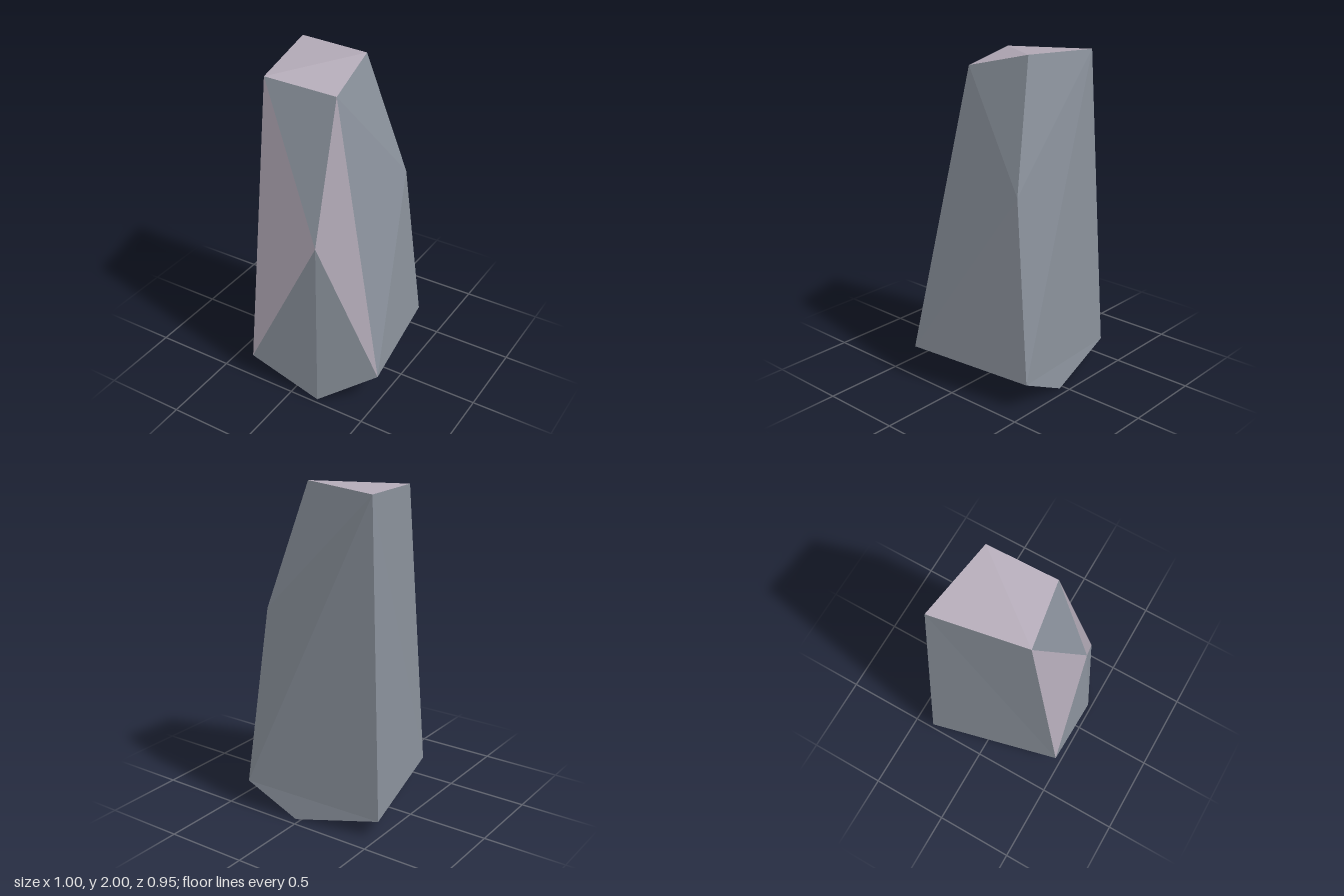
import * as THREE from 'three';

// Corners of the rock
const P = {
  topBackLeft: [-0.40, 1.98, -0.30],
  topFrontLeft: [-0.29, 1.95, 0.255],
  topFrontRight: [0.13, 1.90, 0.18],
  topBackRight: [0.08, 2.00, -0.225],
  midFront: [0.13, 1.05, 0.41],
  midBack: [0.30, 1.25, -0.34],
  lowFrontLeft: [-0.30, 0.14, 0.475],
  footFront: [0.175, 0, 0.475],
  lowRight: [0.50, 0.205, 0.31],
  lowBackRight: [0.37, 0.17, -0.475],
  lowBackLeft: [-0.50, 0.11, -0.36],
  footBack: [0.03, 0, -0.45],
};

// Fan each facet into triangles, wound to face away from the rock's core
function facetGeometry(facets) {
  const core = new THREE.Vector3(0, 1, 0);
  const points = [];
  for (const facet of facets) {
    const c = facet.map((name) => new THREE.Vector3(...P[name]));
    for (let i = 1; i < c.length - 1; i++) {
      const tri = [c[0], c[i], c[i + 1]];
      const normal = new THREE.Triangle(...tri).getNormal(new THREE.Vector3());
      if (normal.dot(c[0].clone().sub(core)) < 0) tri.reverse();
      points.push(...tri);
    }
  }
  const geometry = new THREE.BufferGeometry().setFromPoints(points);
  geometry.computeVertexNormals();
  return geometry;
}

export function createModel() {
  const grey = new THREE.MeshStandardMaterial({ color: 0x89909a, flatShading: true });
  grey.name = 'slateGrey';
  const mauve = new THREE.MeshStandardMaterial({ color: 0xb3aab7, flatShading: true });
  mauve.name = 'paleMauve';

  const parts = {
    // Sloping cap
    topFacets: [mauve, [
      ['topFrontLeft', 'topFrontRight', 'topBackRight'],
      ['topFrontLeft', 'topBackRight', 'topBackLeft'],
    ]],
    // Pale chipped faces either side of the front point
    paleFrontFacets: [mauve, [
      ['topFrontLeft', 'lowFrontLeft', 'midFront'],
      ['topFrontRight', 'midFront', 'lowRight'],
    ]],
    greyFrontFacets: [grey, [
      ['topFrontLeft', 'midFront', 'topFrontRight'],
      ['lowFrontLeft', 'footFront', 'midFront'],
      ['footFront', 'lowRight', 'midFront'],
    ]],
    leftFacet: [grey, [
      ['topBackLeft', 'lowBackLeft', 'lowFrontLeft', 'topFrontLeft'],
    ]],
    rightFacets: [grey, [
      ['topFrontRight', 'lowRight', 'midBack', 'topBackRight'],
      ['lowRight', 'lowBackRight', 'midBack'],
    ]],
    backFacets: [grey, [
      ['topBackLeft', 'topBackRight', 'midBack'],
      ['topBackLeft', 'midBack', 'lowBackRight'],
      ['topBackLeft', 'lowBackRight', 'lowBackLeft'],
      ['lowBackRight', 'footBack', 'lowBackLeft'],
    ]],
    undersideFacets: [grey, [
      ['footFront', 'footBack', 'lowBackRight', 'lowRight'],
      ['footFront', 'lowFrontLeft', 'lowBackLeft', 'footBack'],
    ]],
  };

  const rock = new THREE.Group();
  rock.name = 'rock';
  for (const [name, [material, facets]] of Object.entries(parts)) {
    const mesh = new THREE.Mesh(facetGeometry(facets), material);
    mesh.name = name;
    rock.add(mesh);
  }
  return rock;
}
